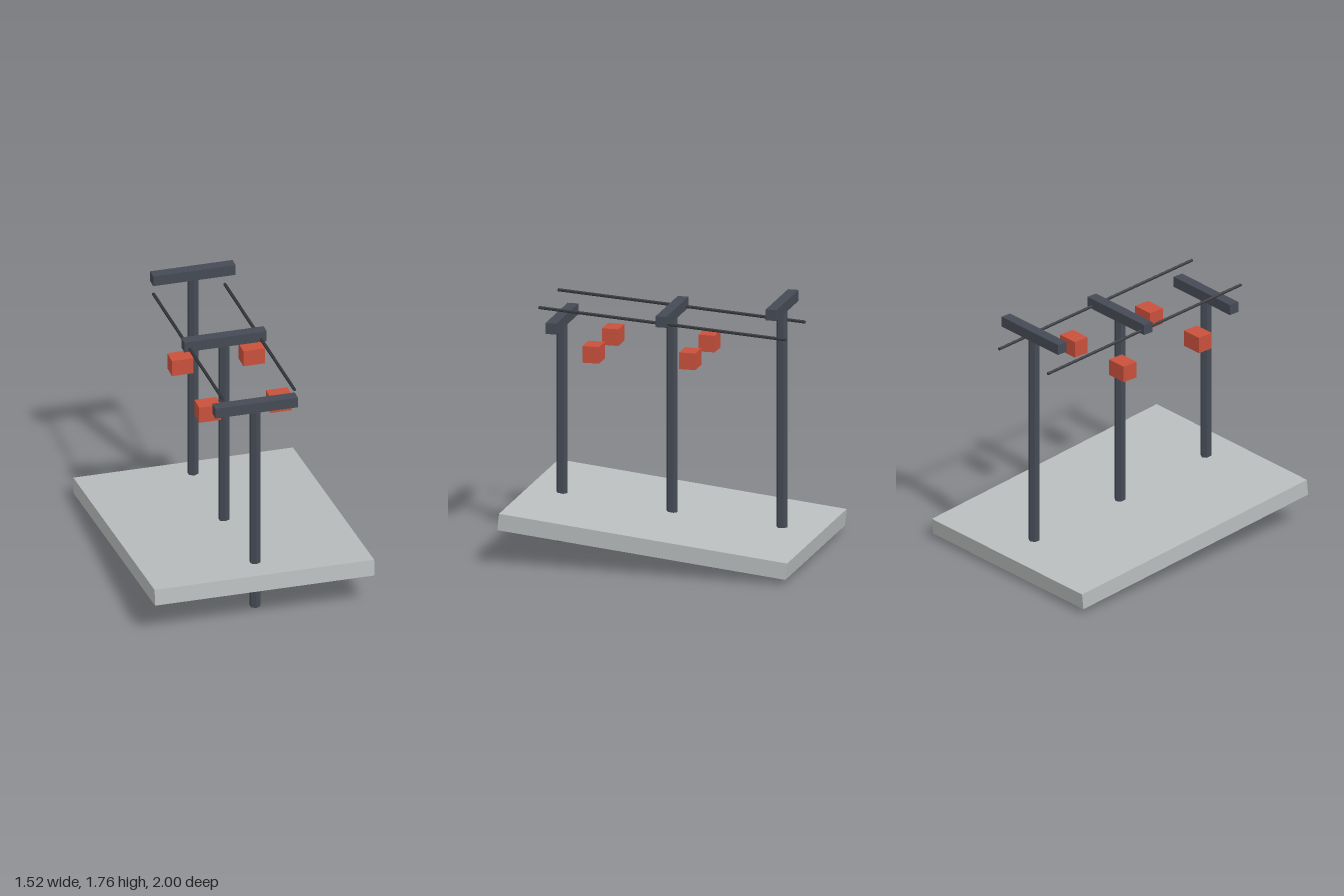
import * as THREE from 'three';

export function createModel() {
  const model = new THREE.Group();
  model.name = 'cableLift';

  const mat = (name, color) => {
    const m = new THREE.MeshStandardMaterial({ color, flatShading: true });
    m.name = name;
    return m;
  };
  const stone = mat('slope grey', 0xb9bdbd);
  const steel = mat('steel grey', 0x454a54);
  const cableDark = mat('cable dark', 0x33363b);
  const red = mat('cabin red', 0xc8503c);

  const add = (name, geometry, material, x, y, z, parent = model) => {
    const mesh = new THREE.Mesh(geometry, material);
    mesh.name = name;
    mesh.position.set(x, y, z);
    parent.add(mesh);
    return mesh;
  };

  // Sloping ground slab, raised at the front
  const slab = add('groundSlab', new THREE.BoxGeometry(1.52, 0.114, 1.999), stone, 0, 0.194, 0);
  slab.rotation.x = -THREE.MathUtils.degToRad(6);

  // Three hexagonal pylons with crossbars, stepping up towards the back
  const postGeometry = new THREE.CylinderGeometry(0.0375, 0.0375, 1.5, 6);
  const barGeometry = new THREE.BoxGeometry(0.57, 0.074, 0.074);
  ['front', 'middle', 'back'].forEach((place, i) => {
    const pylon = new THREE.Group();
    pylon.name = place + 'Pylon';
    pylon.position.set(0, i * 0.0975, 0.76 * (1 - i));
    add('post', postGeometry, steel, 0, 0.75, 0, pylon);
    add('crossbar', barGeometry, steel, 0, 1.524, 0, pylon);
    model.add(pylon);
  });

  // Cables and hanging cabins on both sides
  const cableGeometry = new THREE.CylinderGeometry(0.011, 0.011, 1.71, 6).rotateX(Math.PI / 2);
  const cabinGeometry = new THREE.BoxGeometry(0.15, 0.114, 0.114);
  for (const [side, s] of [['left', 1], ['right', -1]]) {
    const cable = add(side + 'Cable', cableGeometry, cableDark, s * 0.247, 1.602, 0);
    cable.rotation.x = -0.0635;
    add(side + 'FrontCabin', cabinGeometry, red, s * 0.247, 1.374, 0.473);
    add(side + 'BackCabin', cabinGeometry, red, s * 0.247, 1.374, -0.192);
  }

  return model;
}
